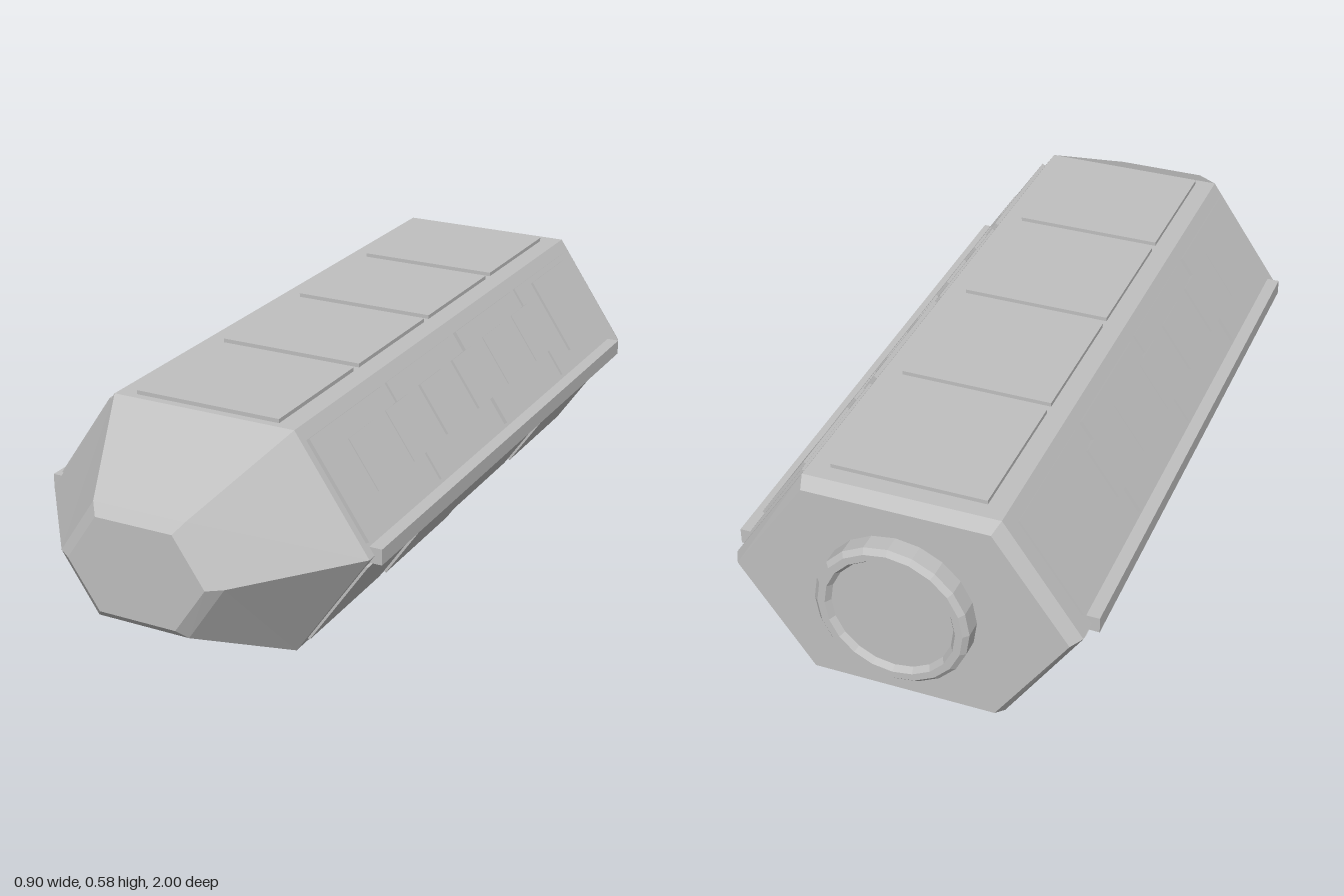
import * as THREE from 'three';

const MID = 0.29; // height of the hull axis

export function createModel() {
  const model = new THREE.Group();
  const hullGrey = new THREE.MeshStandardMaterial({ color: 0xc0c0c0 });
  hullGrey.name = 'hullGrey';

  function add(name, geometry, x = 0, y = 0, z = 0) {
    const mesh = new THREE.Mesh(geometry, hullGrey);
    mesh.name = name;
    mesh.position.set(x, y, z);
    model.add(mesh);
    return mesh;
  }

  // Hexagonal hull lofted from back to front: z, half width, half top width, half height
  const sections = [
    [-0.945, 0.41, 0.228, 0.262],
    [-0.91, 0.43, 0.24, 0.28],
    [0.7, 0.43, 0.24, 0.28],
    [0.975, 0.215, 0.12, 0.143],
    [1.0, 0.18, 0.1, 0.118],
  ].map(([z, w, t, h]) =>
    [[w, 0], [t, h], [-t, h], [-w, 0], [-t, -h], [t, -h]].map(([x, y]) => [x, MID + y, z]));
  const pos = [];
  const tri = (a, b, c) => pos.push(...a, ...b, ...c);
  for (let s = 0; s < sections.length - 1; s++) {
    const B = sections[s], F = sections[s + 1];
    for (let i = 0; i < 6; i++) {
      const j = (i + 1) % 6;
      tri(B[i], B[j], F[j]);
      tri(B[i], F[j], F[i]);
    }
  }
  const back = sections[0], front = sections[sections.length - 1];
  for (let i = 1; i < 5; i++) {
    tri(front[0], front[i], front[i + 1]);
    tri(back[0], back[i + 1], back[i]);
  }
  const hull = new THREE.BufferGeometry();
  hull.setAttribute('position', new THREE.Float32BufferAttribute(pos, 3));
  hull.computeVertexNormals();
  add('hull', hull);

  // Slab lying on one of the four sloped faces; rise is its outer height, up its shift along the slope
  function slopeSlab(name, sx, sy, z, length, height, rise, up = 0) {
    const a = Math.atan2(sy * 0.19, sx * 0.28);
    const depth = rise + 0.01;
    const out = rise - depth / 2;
    const shift = up * sx;
    const mesh = add(name, new THREE.BoxGeometry(depth, height, length),
      sx * 0.335 + Math.cos(a) * out - Math.sin(a) * shift,
      MID + sy * 0.14 + Math.sin(a) * out + Math.cos(a) * shift, z);
    mesh.rotation.z = a;
  }

  // Four rows of armour panels, on all six faces
  for (let i = 0; i < 4; i++) {
    const z = 0.4975 - i * 0.394;
    add('topPanel', new THREE.BoxGeometry(0.38, 0.02, 0.365), 0, 0.57, z);
    add('bottomPanel', new THREE.BoxGeometry(0.38, 0.02, 0.365), 0, 0.01, z);
    for (const sx of [1, -1]) {
      slopeSlab('upperSidePanel', sx, 1, z, 0.365, 0.27, i % 2 ? 0.006 : 0.01);
      slopeSlab('lowerSidePanel', sx, -1, z, 0.365, 0.27, i % 2 ? 0.01 : 0.006);
    }
  }

  for (const sx of [1, -1]) {
    // Row of small windows along the upper slope
    for (let i = 0; i < 6; i++) {
      slopeSlab('window', sx, 1, 0.49 - i * 0.19, 0.12, 0.14, 0.013, 0.012);
    }
    // Rail along the widest edge
    add('sideRail', new THREE.BoxGeometry(0.045, 0.04, 1.53), sx * 0.4265, MID, -0.09);
  }

  // Hatch on one side only
  slopeSlab('sideHatch', 1, 1, -0.715, 0.23, 0.215, 0.013, 0.012);

  // Docking ring with recessed cap at the back
  const profile = [[0.19, 0], [0.19, 0.043], [0.178, 0.055], [0.16, 0.055], [0.15, 0.04], [0, 0.04]]
    .map(([r, y]) => new THREE.Vector2(r, y));
  const ring = new THREE.LatheGeometry(profile, 20).toNonIndexed();
  ring.computeVertexNormals();
  add('dockingRing', ring, 0, MID, -0.945).rotation.x = -Math.PI / 2;

  return model;
}
